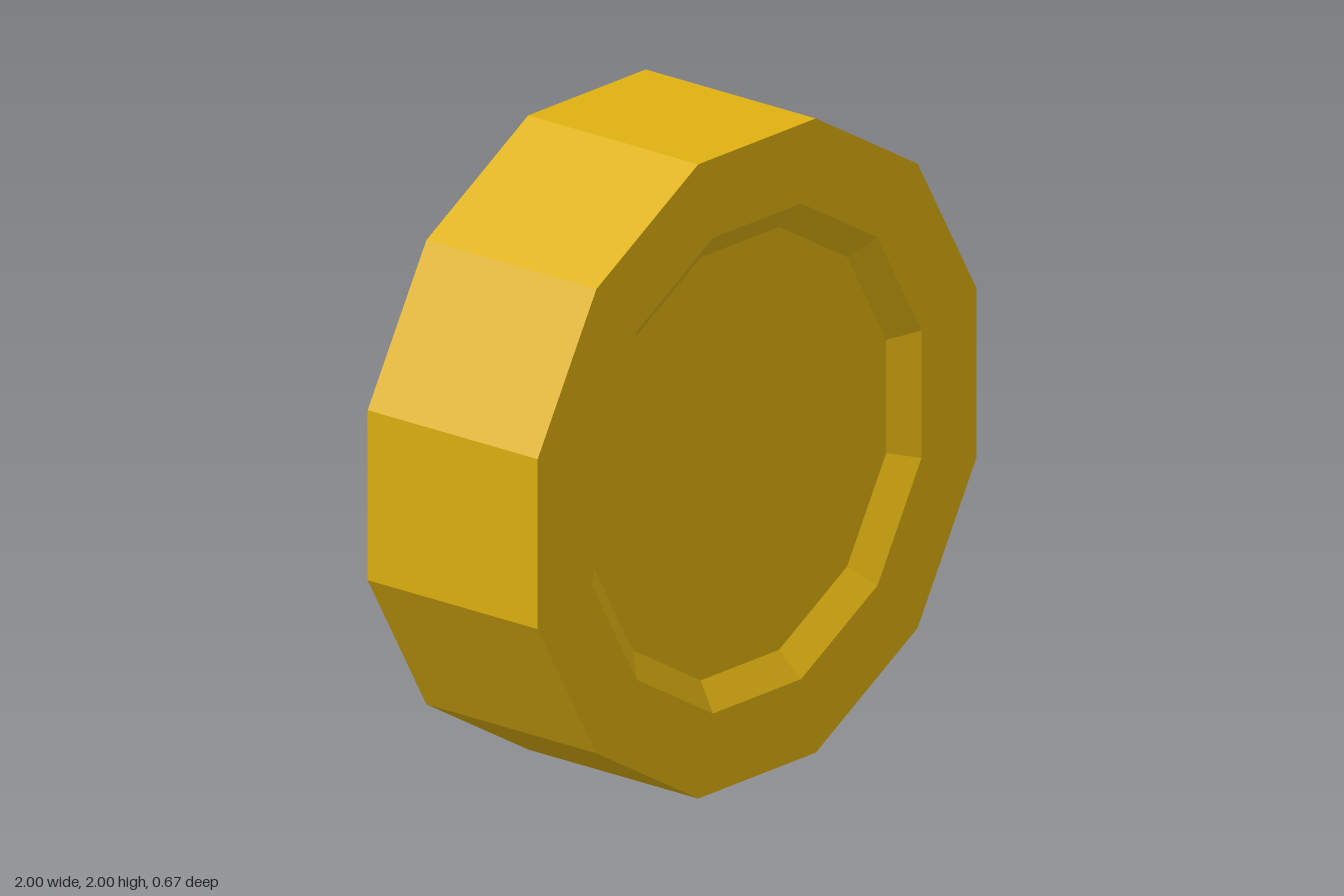
import * as THREE from 'three';

const SIDES = 12;
const HALF = 0.333;   // half thickness
const RECESS = 0.067; // depth of the sunken faces
const TURN = Math.PI / SIDES; // half a side, so that flats rest on the ground
const toCorner = (apothem) => apothem / Math.cos(TURN);

export function createModel() {
  const group = new THREE.Group();
  group.name = 'coin';
  const gold = new THREE.MeshStandardMaterial({ color: 0xdfb111 });
  gold.name = 'gold';
  gold.flatShading = true;

  // Rim: outer wall, flat borders and sloped inner walls on both sides
  const profile = [
    [0.667, -HALF + RECESS], [0.75, -HALF], [1, -HALF],
    [1, HALF], [0.75, HALF], [0.667, HALF - RECESS],
  ].map(([r, y]) => new THREE.Vector2(toCorner(r), y));
  const rimGeometry = new THREE.LatheGeometry(profile, SIDES, TURN).toNonIndexed();
  rimGeometry.computeVertexNormals();
  rimGeometry.rotateX(Math.PI / 2);
  const rim = new THREE.Mesh(rimGeometry, gold);
  rim.name = 'rim';
  rim.position.y = 1;
  group.add(rim);

  // Sunken faces, front and back
  for (const side of [1, -1]) {
    const face = new THREE.Mesh(new THREE.CircleGeometry(toCorner(0.667), SIDES, TURN), gold);
    face.name = side > 0 ? 'frontFace' : 'backFace';
    face.position.set(0, 1, side * (HALF - RECESS));
    if (side < 0) face.rotation.y = Math.PI;
    group.add(face);
  }
  return group;
}
